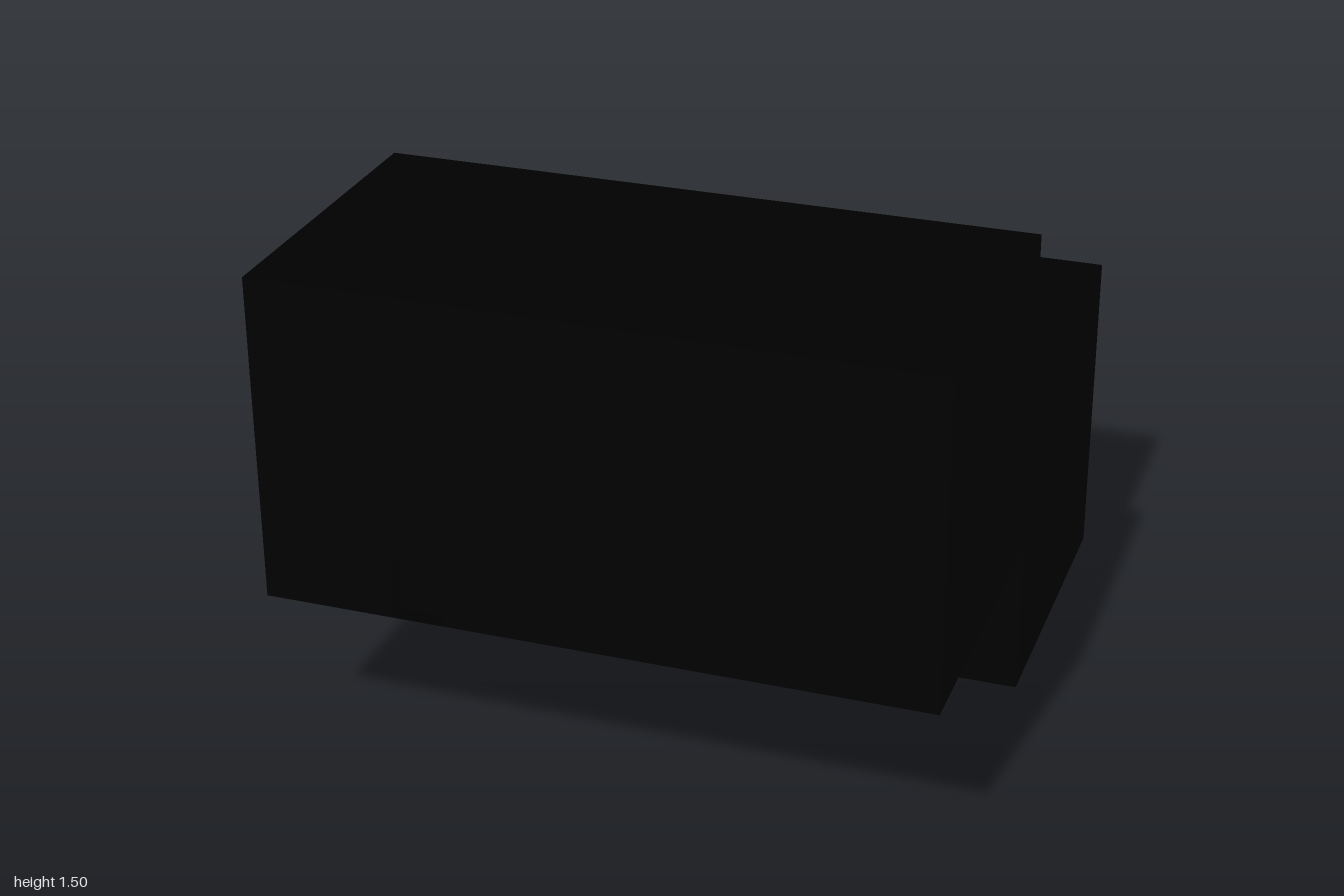
import * as THREE from 'three';

const dark = new THREE.MeshStandardMaterial({ color: 0x000000 });

function addBox(group, name, min, max) {
  const size = max.map((v, i) => v - min[i]);
  const mesh = new THREE.Mesh(new THREE.BoxGeometry(...size), dark);
  mesh.position.set(...max.map((v, i) => (v + min[i]) / 2));
  mesh.name = name;
  group.add(mesh);
}

export function createModel() {
  const group = new THREE.Group();
  group.name = 'steppedBlocks';
  const wall = 0.05;

  // lower block at the back, raised block at the front
  addBox(group, 'lowerBlock', [-1, 0, -1], [1, 1, 0]);
  addBox(group, 'raisedBlock', [-1, 0.5, 0], [1, 1.5, 1 - wall]);

  // front wall with a small doorway at its foot
  const floor = 0.505;
  const outline = new THREE.Shape([
    [-1, floor], [-0.6, floor], [-0.6, 0.7], [-0.45, 0.7], [-0.45, floor],
    [1, floor], [1, 1.5], [-1, 1.5],
  ].map(([x, y]) => new THREE.Vector2(x, y)));
  const front = new THREE.Mesh(
    new THREE.ExtrudeGeometry(outline, { depth: wall, bevelEnabled: false }), dark);
  front.position.z = 1 - wall;
  front.name = 'frontWall';
  group.add(front);

  // thin sill closing the wall underneath
  addBox(group, 'doorSill', [-1, 0.5, 1 - wall], [1, floor, 1]);

  return group;
}
